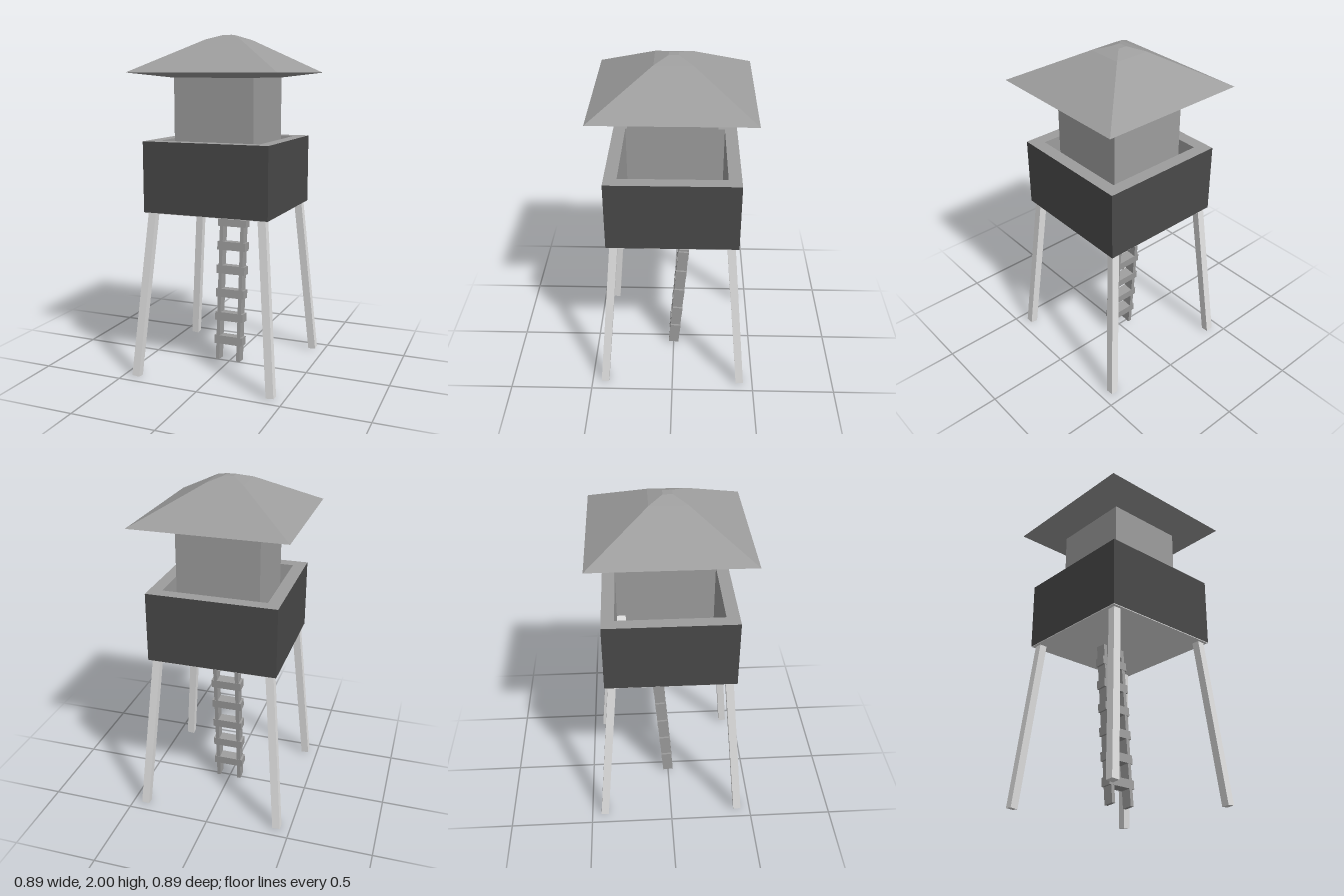
import * as THREE from 'three';

const light = new THREE.MeshStandardMaterial({ color: 0xe2e2e2 });
light.name = 'light grey';
const grey = new THREE.MeshStandardMaterial({ color: 0x9d9d9d });
grey.name = 'mid grey';
const dark = new THREE.MeshStandardMaterial({ color: 0x494949 });
dark.name = 'dark grey';

function add(parent, name, geometry, material, x = 0, y = 0, z = 0) {
  const mesh = new THREE.Mesh(geometry, material);
  mesh.name = name;
  mesh.position.set(x, y, z);
  parent.add(mesh);
  return mesh;
}

const box = (w, h, d) => new THREE.BoxGeometry(w, h, d);

// Square, flat-faced solid from a profile of [half width, height]
function squareLathe(profile) {
  const points = profile.map(([r, y]) => new THREE.Vector2(r * Math.SQRT2, y));
  const geometry = new THREE.LatheGeometry(points, 4, Math.PI / 4).toNonIndexed();
  geometry.computeVertexNormals();
  return geometry;
}

export function createModel() {
  const tower = new THREE.Group();
  tower.name = 'watchtower';

  // Hipped roof with a softened peak and a shallow sloping underside
  add(tower, 'roof', squareLathe([
    [0, 1.75], [0.235, 1.755], [0.443, 1.785], [0.105, 1.973], [0.027, 2], [0, 2],
  ]), grey);

  // Cabin standing on the platform floor
  add(tower, 'cabin', box(0.484, 0.75, 0.484), grey, 0, 1.385, 0);

  // Platform floor
  add(tower, 'floor', box(0.752, 0.03, 0.752), light, 0, 1.002, 0);

  // Parapet: dark outer panels, grey rim and inner faces
  const outer = 0.378, inner = 0.304, bottom = 0.99, top = 1.4;
  add(tower, 'parapetPanels', squareLathe([[outer, bottom], [outer, top]]), dark);
  add(tower, 'parapetRim', squareLathe([[outer, top], [inner, top], [inner, bottom]]), grey);

  // Four splayed legs
  const splay = 0.0865;
  for (const sx of [-1, 1]) {
    for (const sz of [-1, 1]) {
      const leg = add(tower, 'leg', box(0.046, 1.03, 0.046), light, sx * 0.376, 0.517, sz * 0.376);
      leg.rotation.set(-sz * splay, 0, sx * splay);
    }
  }

  // Ladder leaning backwards up to the floor
  const ladder = new THREE.Group();
  ladder.name = 'ladder';
  ladder.position.set(0, 0.014, 0);
  ladder.rotation.x = -0.083;
  tower.add(ladder);
  for (const side of [-1, 1]) {
    add(ladder, 'ladderRail', box(0.022, 0.99, 0.064), grey, side * 0.068, 0.495, 0);
  }
  for (let i = 0; i < 6; i++) {
    add(ladder, 'ladderRung', box(0.184, 0.052, 0.066), grey, 0, 0.126 + i * 0.148, 0);
  }

  return tower;
}
